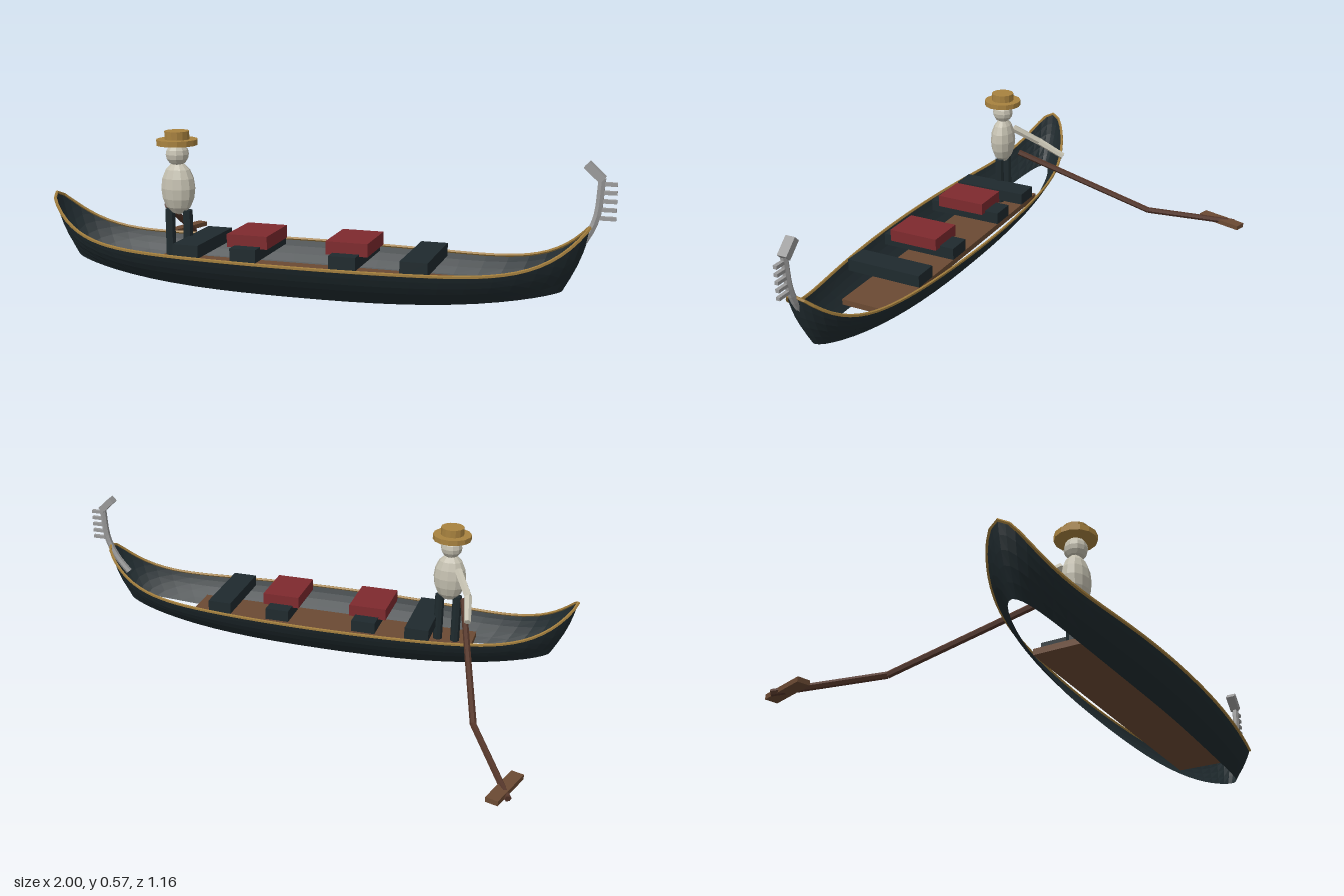
import * as THREE from 'three';

const V = (x, y, z) => new THREE.Vector3(x, y, z);
const mat = (color) => new THREE.MeshStandardMaterial({ color, flatShading: true, side: THREE.DoubleSide });
const CX = -0.035, CZ = 0.37; // centre of the boat

// Point on the hull: a runs round the boat, t from gunwale (0) to keel edge (1)
function hullPoint(a, t) {
  const c = Math.cos(a), s = Math.sin(a), u = Math.abs(c);
  const bulge = 0.012 * Math.sin(Math.PI * t);
  const rx = THREE.MathUtils.lerp(0.96, 0.875, t) + bulge;
  const rz = THREE.MathUtils.lerp(0.203, 0.115, t) + bulge;
  const y = THREE.MathUtils.lerp(0.165 + 0.16 * u ** 8, 0.04 + 0.065 * u ** 3, t);
  return V(CX + rx * c, y, CZ + rz * s);
}

function hullGeometry(around = 56, down = 5) {
  const pos = [], idx = [];
  for (let j = 0; j <= down; j++)
    for (let i = 0; i <= around; i++) pos.push(...hullPoint((i / around) * Math.PI * 2, j / down).toArray());
  for (let j = 0; j < down; j++)
    for (let i = 0; i < around; i++) {
      const a = j * (around + 1) + i, b = a + around + 1;
      idx.push(a, a + 1, b, a + 1, b + 1, b);
    }
  const g = new THREE.BufferGeometry();
  g.setAttribute('position', new THREE.Float32BufferAttribute(pos, 3));
  g.setIndex(idx);
  g.computeVertexNormals();
  return g;
}

export function createModel() {
  const root = new THREE.Group();
  const black = mat(0x1f2a2e), gold = mat(0xa07c3c), brown = mat(0x6b4a33), red = mat(0x7e2a2e);
  const oarWood = mat(0x54362a), steel = mat(0x9a9a9a), cloth = mat(0xc4c0b0), straw = mat(0xa8823f);

  const add = (name, geo, m, x = 0, y = 0, z = 0, parent = root) => {
    const mesh = new THREE.Mesh(geo, m);
    mesh.name = name;
    mesh.position.set(x, y, z);
    parent.add(mesh);
    return mesh;
  };
  const group = (name) => {
    const g = new THREE.Group();
    g.name = name;
    root.add(g);
    return g;
  };
  const box = (w, h, d) => new THREE.BoxGeometry(w, h, d);
  // Straight round bar between two points
  const bar = (name, a, b, r0, r1, m, parent, sides = 6) => {
    const d = b.clone().sub(a);
    const mesh = add(name, new THREE.CylinderGeometry(r1, r0, d.length(), sides), m, 0, 0, 0, parent);
    mesh.position.copy(a).add(b).multiplyScalar(0.5);
    mesh.quaternion.setFromUnitVectors(V(0, 1, 0), d.normalize());
    return mesh;
  };

  // Hull shell with a gilded gunwale
  add('hull', hullGeometry(), black);
  const rim = Array.from({ length: 56 }, (_, i) => hullPoint((i / 56) * Math.PI * 2, 0));
  add('gunwale', new THREE.TubeGeometry(new THREE.CatmullRomCurve3(rim, true), 112, 0.006, 5, true), gold);

  // Floor, thwarts and cushions
  add('floor', box(1.15, 0.022, 0.2), brown, -0.035, 0.091, CZ);
  for (const x of [-0.42, -0.21, 0.14, 0.382]) add('thwart', box(0.093, 0.045, 0.298), black, x, 0.1775, 0.365);
  for (const x of [-0.212, 0.142]) add('cushion', box(0.146, 0.045, 0.195), red, x, 0.215, CZ);

  // Comb-shaped prow ornament
  const prow = group('prowOrnament');
  const stem = new THREE.CatmullRomCurve3([V(0.85, 0.21, CZ), V(0.9, 0.27, CZ), V(0.938, 0.35, CZ), V(0.952, 0.48, CZ)]);
  add('prowStem', new THREE.TubeGeometry(stem, 10, 0.013, 6), steel, 0, 0, 0, prow);
  const head = add('prowHead', box(0.07, 0.026, 0.036), steel, 0.929, 0.499, CZ, prow);
  head.rotation.z = -0.75;
  for (let i = 0; i < 5; i++) add('prowTooth', box(0.06, 0.012, 0.014), steel, 0.97, 0.352 + i * 0.0275, CZ, prow);

  // Oarsman
  const man = group('oarsman'), mx = -0.508;
  for (const s of [-1, 1])
    add('leg', new THREE.CylinderGeometry(0.018, 0.018, 0.19, 8), black, mx + s * 0.034, 0.195, CZ, man);
  add('torso', new THREE.SphereGeometry(1, 12, 8), cloth, mx, 0.367, CZ, man).scale.set(0.063, 0.095, 0.047);
  add('headBall', new THREE.SphereGeometry(0.041, 10, 8), cloth, mx, 0.488, CZ, man);
  add('hatBrim', new THREE.CylinderGeometry(0.073, 0.073, 0.02, 14), straw, mx, 0.531, CZ, man);
  add('hatCrown', new THREE.CylinderGeometry(0.044, 0.044, 0.03, 14), straw, mx, 0.555, CZ, man);
  const shoulder = V(-0.545, 0.41, 0.338), elbow = V(-0.602, 0.347, 0.25), hand = V(-0.622, 0.292, 0.147);
  bar('upperArm', shoulder, elbow, 0.016, 0.015, cloth, man);
  bar('forearm', elbow, hand, 0.015, 0.013, cloth, man);

  // Oar trailing behind with a flat blade
  const oar = group('oar');
  const bend = V(-0.721, 0.075, -0.205);
  bar('oarShaft', V(-0.572, 0.295, 0.33), bend, 0.012, 0.012, oarWood, oar);
  bar('oarNeck', bend, V(-0.895, 0.015, -0.53), 0.012, 0.012, oarWood, oar);
  add('oarBlade', box(0.045, 0.018, 0.19), brown, -0.876, 0.021, -0.48, oar).rotation.y = -0.3;

  return root;
}
